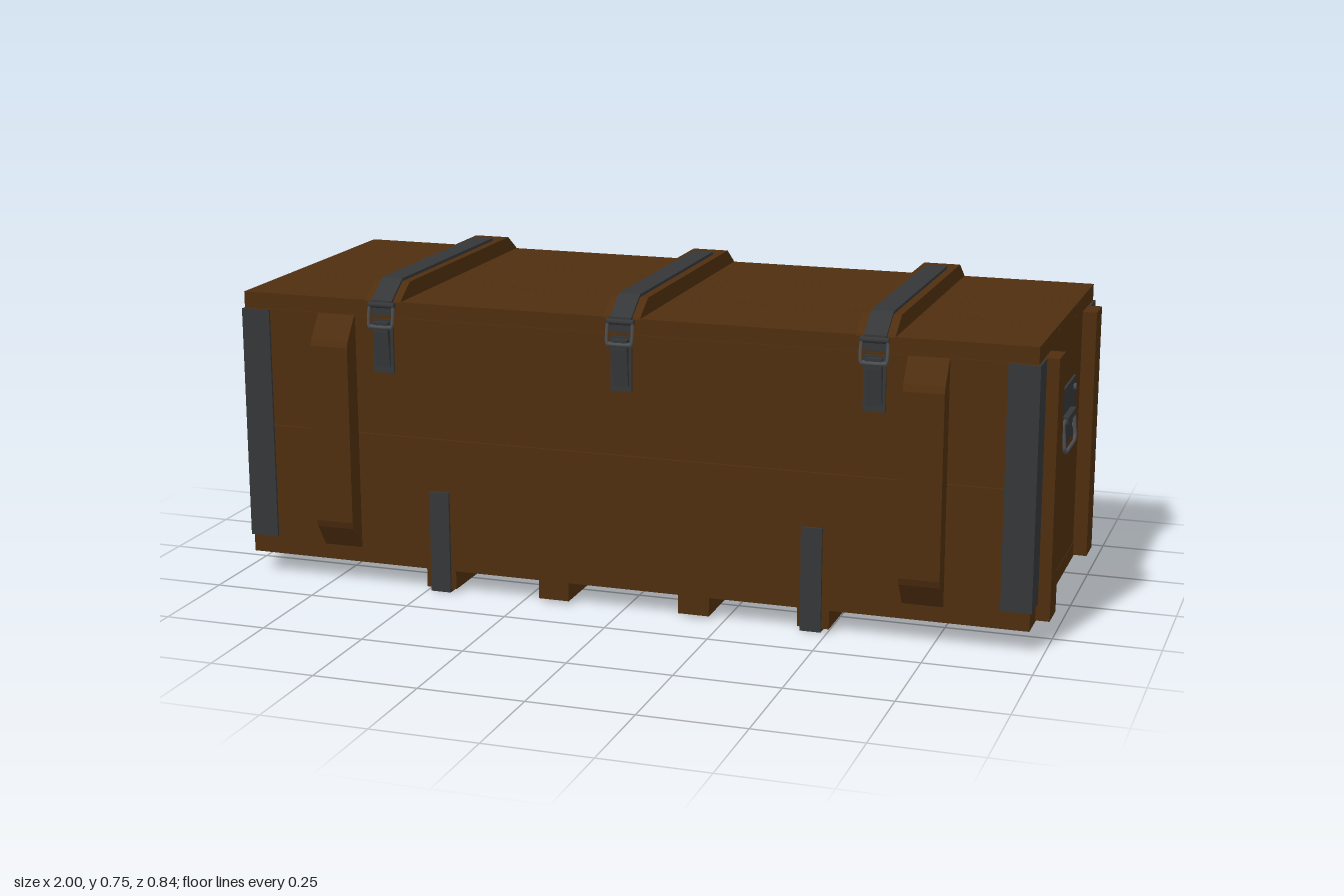
import * as THREE from 'three';

export function createModel() {
  const wood = new THREE.MeshStandardMaterial({ color: 0x4f2e0f });
  wood.name = 'brown wood';
  const iron = new THREE.MeshStandardMaterial({ color: 0x343638 });
  iron.name = 'dark iron';
  const steel = new THREE.MeshStandardMaterial({ color: 0x4a4d50 });
  steel.name = 'grey steel';

  const root = new THREE.Group();
  root.name = 'woodenCrate';

  const add = (name, geometry, material, parent = root) => {
    const mesh = new THREE.Mesh(geometry, material);
    mesh.name = name;
    parent.add(mesh);
    return mesh;
  };
  // Box given by its extents on each axis
  const box = (name, [x0, x1], [y0, y1], [z0, z1], material, parent) => {
    const g = new THREE.BoxGeometry(Math.abs(x1 - x0), y1 - y0, Math.abs(z1 - z0));
    g.translate((x0 + x1) / 2, (y0 + y1) / 2, (z0 + z1) / 2);
    return add(name, g, material, parent);
  };
  // Profile in (z, y) extruded along x, centred at x
  const prism = (name, points, width, x, material, parent) => {
    const shape = new THREE.Shape(points.map(([z, y]) => new THREE.Vector2(z, y)));
    const g = new THREE.ExtrudeGeometry(shape, { depth: width, bevelEnabled: false });
    g.translate(0, 0, -width / 2).rotateY(-Math.PI / 2).translate(x, 0, 0);
    return add(name, g, material, parent);
  };
  const rod = (name, radius, length, x, y, z, material, parent) => {
    const g = new THREE.CylinderGeometry(radius, radius, length, 10);
    g.rotateZ(Math.PI / 2).translate(x, y, z);
    return add(name, g, material, parent);
  };
  const wire = (name, points, radius, closed, material, parent) => {
    const path = new THREE.CatmullRomCurve3(points.map(p => new THREE.Vector3(...p)), closed, 'catmullrom', 0.15);
    return add(name, new THREE.TubeGeometry(path, 48, radius, 8, closed), material, parent);
  };

  const gap = 0.001;
  const X = 0.967, Z = 0.37;

  // Floor and lid, three boards each
  for (const [z0, z1] of [[-Z, -0.123], [-0.123, 0.123], [0.123, Z]]) {
    box('floorBoard', [-X, X], [0.053, 0.09], [z0 + gap, z1 - gap], wood);
    box('lidBoard', [-X, X], [0.67, 0.708], [z0 + gap, z1 - gap], wood);
  }

  // Walls, two boards high
  for (const [y0, y1] of [[0.09, 0.38 - gap], [0.38 + gap, 0.67 - gap]]) {
    for (const s of [-1, 1]) {
      box('sideBoard', [-X, X], [y0, y1], [s * 0.335, s * (Z - 0.001)], wood);
      box('endBoard', [s * 0.93, s * (X - 0.001)], [y0, y1], [-0.335, 0.335], wood);
    }
  }

  for (const sx of [-1, 1]) {
    for (const sz of [-1, 1]) {
      // Upright battens on the ends
      box('endBatten', [sx * 0.965, sx * 1.0], [0.057, 0.668], [sz * 0.22, sz * 0.298], wood);
      // Chamfered battens on the long sides
      const profile = [[0.368, 0.09], [0.375, 0.092], [0.413, 0.148], [0.419, 0.165],
        [0.419, 0.598], [0.413, 0.614], [0.375, 0.666], [0.368, 0.668]];
      prism('sideBatten', profile.map(([z, y]) => [z * sz, y]), 0.095, sx * 0.722, wood);
      // Metal corner angles
      box('cornerPlateSide', [sx * 0.9, sx * 0.972], [0.097, 0.667], [sz * 0.369, sz * 0.375], iron);
      box('cornerPlateEnd', [sx * 0.965, sx * 0.972], [0.097, 0.667], [sz * 0.299, sz * 0.375], iron);
    }

    // Carrying handle
    const handle = new THREE.Group();
    handle.name = 'carryHandle';
    root.add(handle);
    box('handlePlate', [sx * 0.965, sx * 0.972], [0.395, 0.536], [-0.123, 0.123], iron, handle);
    for (const z of [-0.093, 0.093])
      for (const y of [0.421, 0.514]) rod('bolt', 0.008, 0.012, sx * 0.972, y, z, steel, handle);
    wire('handleLoop', [
      [0.978, 0.465, -0.066], [0.978, 0.465, 0.066], [0.978, 0.457, 0.074], [0.982, 0.405, 0.074],
      [0.983, 0.391, 0.06], [0.983, 0.391, -0.06], [0.982, 0.405, -0.074], [0.978, 0.457, -0.074],
    ].map(([x, y, z]) => [sx * x, y, z]), 0.0045, true, steel, handle);
    box('handleClip', [sx * 0.968, sx * 0.986], [0.458, 0.474], [-0.055, 0.055], iron, handle);
  }

  // Lid battens with straps and front latches
  for (const x of [-0.6, 0, 0.6]) {
    prism('lidBatten', [[-Z, 0.706], [Z, 0.706], [0.365, 0.712], [0.312, 0.747],
      [-0.312, 0.747], [-0.365, 0.712]], 0.09, x, wood);
    prism('lidStrap', [[-0.25, 0.746], [0.31, 0.746], [0.371, 0.706], [0.376, 0.711],
      [0.313, 0.754], [-0.25, 0.754]], 0.052, x, iron);

    const latch = new THREE.Group();
    latch.name = 'latch';
    root.add(latch);
    box('latchHook', [x - 0.026, x + 0.026], [0.675, 0.711], [0.369, 0.377], iron, latch);
    rod('latchPin', 0.007, 0.066, x, 0.7, 0.378, iron, latch);
    wire('latchLoop', [[x - 0.029, 0.7, 0.38], [x + 0.029, 0.7, 0.38],
      [x + 0.029, 0.65, 0.389], [x - 0.029, 0.65, 0.389]], 0.004, true, steel, latch);
    box('latchPlate', [x - 0.026, x + 0.026], [0.535, 0.665], [0.369, 0.375], iron, latch);
    prism('latchLever', [[0.375, 0.55], [0.379, 0.55], [0.389, 0.635], [0.389, 0.66], [0.375, 0.66]],
      0.038, x, iron, latch);
    rod('leverPin', 0.006, 0.06, x, 0.648, 0.386, steel, latch);
  }

  // Hinges on the back
  for (const [x, width] of [[-0.487, 0.092], [0, 0.145], [0.487, 0.092]]) {
    box('hingeLeaf', [x - width / 2, x + width / 2], [0.64, 0.69], [-0.375, -0.369], iron);
    rod('hingePin', 0.006, width, x, 0.67, -0.374, iron);
  }

  // Skids under the floor
  for (const x of [-0.465, -0.175, 0.175, 0.465])
    box('skid', [x - 0.038, x + 0.038], [0.008, 0.054], [-Z, Z], wood);

  // U-shaped straps wrapped round the outer skids
  for (const x of [-0.465, 0.46]) {
    prism('skidStrap', [[-0.376, 0], [0.376, 0], [0.376, 0.25], [0.369, 0.25], [0.369, 0.008],
      [-0.369, 0.008], [-0.369, 0.25], [-0.376, 0.25]], 0.05, x, iron);
  }

  return root;
}
